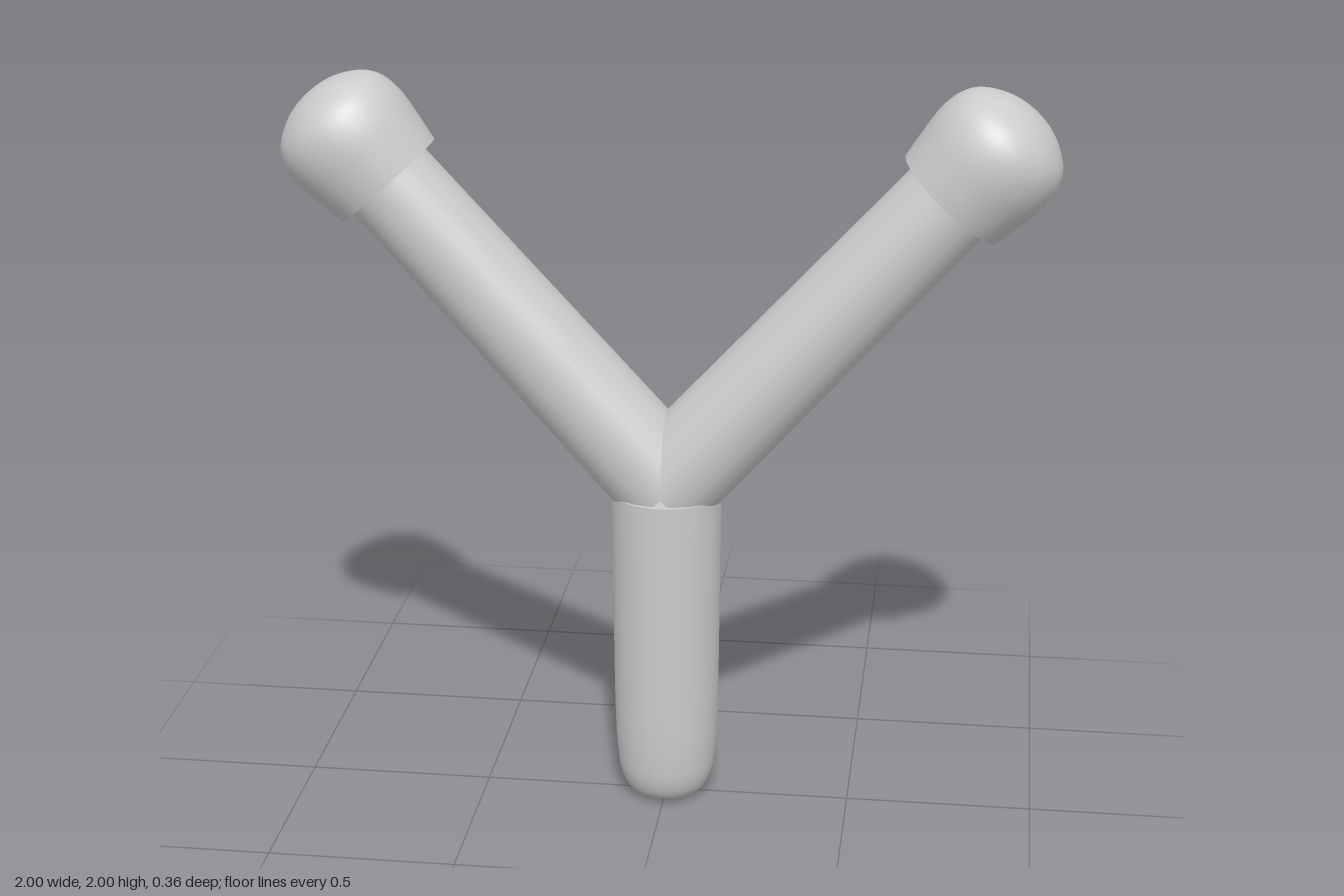
import * as THREE from 'three';

const material = new THREE.MeshStandardMaterial({ color: 0xcccccc, side: THREE.DoubleSide });

// Smooth surface of revolution around y from [radius, height] points
function lathe(name, points, parent) {
  const profile = points.map(([r, y]) => new THREE.Vector2(r, y));
  const mesh = new THREE.Mesh(new THREE.LatheGeometry(profile, 48), material);
  mesh.name = name;
  parent.add(mesh);
  return mesh;
}

// Samples a soft curve through [radius, height] points
function soft(points, steps = 28) {
  const curve = new THREE.CatmullRomCurve3(points.map(([r, y]) => new THREE.Vector3(r, y, 0)));
  return curve.getPoints(steps).map((p) => [Math.max(p.x, 0), p.y]);
}

export function createModel() {
  const model = new THREE.Group();

  // Handle with a rounded foot and a flat top
  lathe('handle', soft([[0, 0], [0.06, 0.005], [0.1, 0.02], [0.124, 0.065], [0.135, 0.14],
    [0.14, 0.25], [0.144, 0.6], [0.148, 0.89]]), model);
  const top = new THREE.Mesh(new THREE.CircleGeometry(0.148, 48), material);
  top.name = 'handleTop';
  top.rotation.x = -Math.PI / 2;
  top.position.y = 0.89;
  model.add(top);

  // Two forked arms, each ending in a bulbous cap
  const tilt = THREE.MathUtils.degToRad(42);
  for (const side of [1, -1]) {
    const branch = new THREE.Group();
    branch.name = side > 0 ? 'leftBranch' : 'rightBranch';
    branch.position.y = 0.908;
    branch.rotation.z = -side * tilt;
    model.add(branch);

    const arm = new THREE.Mesh(new THREE.CylinderGeometry(0.124, 0.138, 1.22, 48), material);
    arm.name = 'arm';
    arm.position.y = 0.61;
    branch.add(arm);

    const cap = new THREE.Group();
    cap.name = 'cap';
    cap.position.y = 1.083;
    branch.add(cap);
    lathe('capShell', soft([[0.16, 0], [0.171, 0.07], [0.18, 0.14], [0.176, 0.195], [0.162, 0.23],
      [0.139, 0.257], [0.09, 0.287], [0.045, 0.301], [0, 0.305]]), cap);

    // Rim and the recess around the arm
    lathe('capRim', [[0.146, 0], [0.16, 0]], cap);
    lathe('capRecess', [[0.12, 0.1], [0.146, 0]], cap);
  }
  return model;
}
